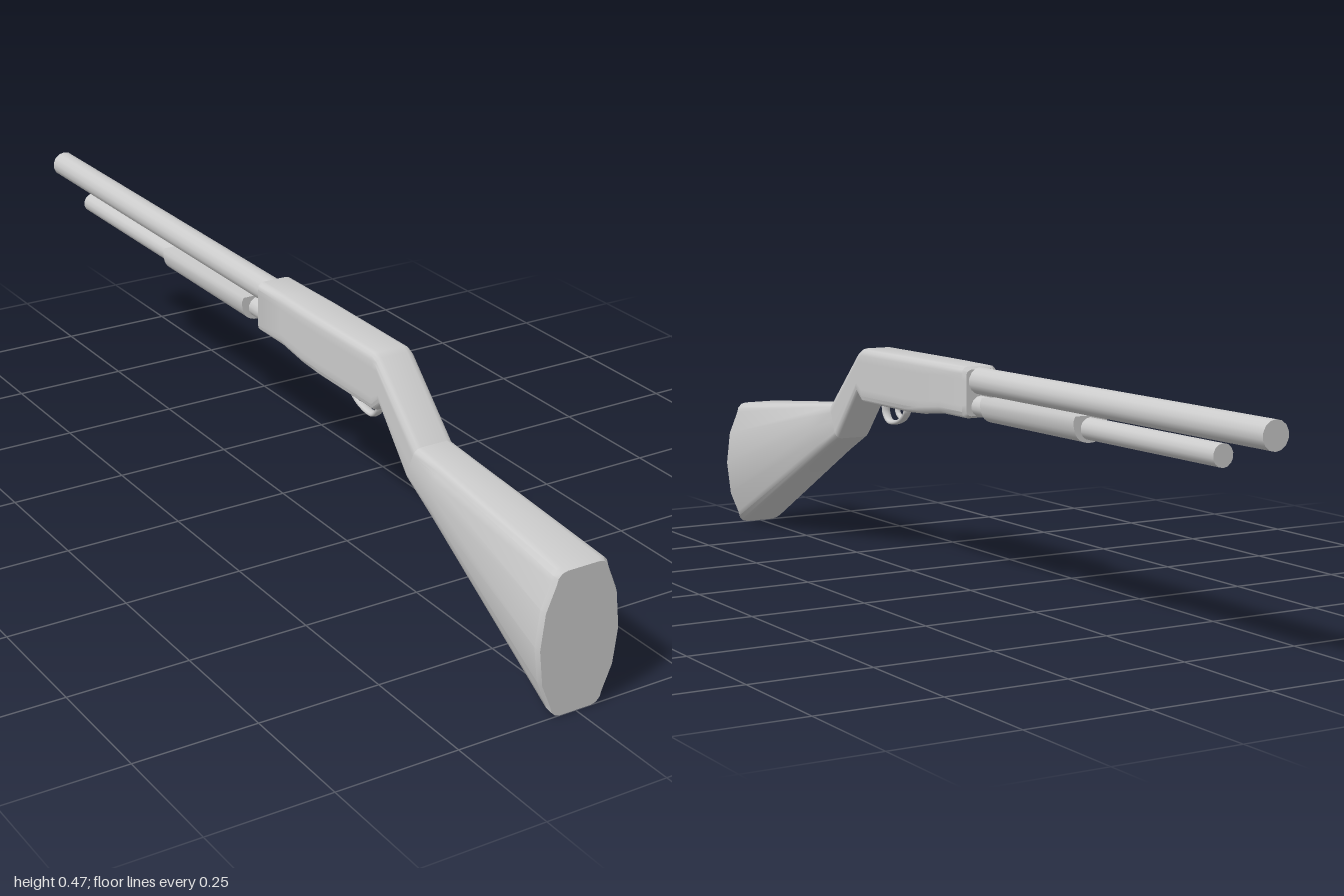
import * as THREE from 'three';
import { toCreasedNormals } from 'three/addons/utils/BufferGeometryUtils.js';

const material = new THREE.MeshStandardMaterial({ color: 0xcccccc });
const doubleSided = new THREE.MeshStandardMaterial({ color: 0xcccccc, side: THREE.DoubleSide });

// Rounded section between a top and a bottom point, optionally bulging at the sides
function section([zTop, yTop, zBottom, yBottom, w, bulge, r]) {
  const height = Math.hypot(yTop - yBottom, zTop - zBottom);
  const k = r / height;
  const side = [[w - r, 0], [w - 0.5 * r, 0.13 * k], [w - 0.13 * r, 0.5 * k], [w, k]];
  for (const u of [0.25, 0.5, 0.75]) side.push([w + bulge * Math.sin(Math.PI * u), u]);
  side.push([w, 1 - k], [w - 0.13 * r, 1 - 0.5 * k], [w - 0.5 * r, 1 - 0.13 * k], [w - r, 1]);
  const outline = [...side, ...side.slice().reverse().map(([x, u]) => [-x, u])];
  return outline.map(([x, u]) => [
    x, yBottom + (yTop - yBottom) * u, zBottom + (zTop - zBottom) * u]);
}

// Closed skin through sections ordered from -z to +z
function loft(rows) {
  const rings = rows.map(section);
  const n = rings[0].length;
  const index = [];
  for (let i = 0; i < rings.length - 1; i++) {
    for (let j = 0; j < n; j++) {
      const a = i * n + j, b = i * n + (j + 1) % n;
      index.push(a, b, a + n, b, b + n, a + n);
    }
  }
  const last = (rings.length - 1) * n;
  for (let j = 1; j < n - 1; j++) {
    index.push(0, j + 1, j, last, last + j, last + j + 1);
  }
  const geometry = new THREE.BufferGeometry();
  geometry.setAttribute('position', new THREE.Float32BufferAttribute(rings.flat(2), 3));
  geometry.setIndex(index);
  return toCreasedNormals(geometry, 0.65);
}

function createModel() {
  const model = new THREE.Group();
  const add = (name, geometry, mat = material) => {
    const mesh = new THREE.Mesh(geometry, mat);
    mesh.name = name;
    model.add(mesh);
    return mesh;
  };

  // Rows: zTop, yTop, zBottom, yBottom, half width, side bulge, corner radius
  add('receiverAndGrip', loft([
    [-0.04, 0.465, -0.04, 0.37, 0.034, 0, 0.012],
    [-0.032, 0.471, -0.032, 0.365, 0.04, 0, 0.014],
    [0.06, 0.472, 0.06, 0.365, 0.041, 0, 0.015],
    [0.14, 0.472, 0.14, 0.356, 0.043, 0, 0.015],
    [0.2, 0.472, 0.2, 0.353, 0.043, 0, 0.015],
    [0.395, 0.472, 0.395, 0.353, 0.043, 0, 0.015],
    [0.408, 0.465, 0.42, 0.373, 0.043, 0, 0.015],
    [0.545, 0.335, 0.515, 0.26, 0.043, 0, 0.015],
  ]));
  add('stock', loft([
    [0.545, 0.335, 0.515, 0.26, 0.043, 0, 0.015],
    [0.62, 0.328, 0.6, 0.217, 0.046, 0.005, 0.017],
    [0.99, 0.292, 0.99, 0.008, 0.061, 0.029, 0.022],
    [1, 0.288, 1, 0.001, 0.056, 0.029, 0.022],
  ]));

  // Barrel and magazine tube run forward along -z
  const rod = (name, radius, y, zBack, zFront) => {
    const geometry = new THREE.CylinderGeometry(radius, radius, zBack - zFront, 14);
    geometry.rotateX(Math.PI / 2);
    add(name, geometry).position.set(0, y, (zBack + zFront) / 2);
  };
  rod('barrel', 0.028, 0.441, -0.03, -1);
  rod('magazineTube', 0.022, 0.389, -0.03, -0.855);

  // Pump grip with a flat top under the barrel and a rounded belly
  const pump = new THREE.Shape();
  pump.moveTo(0.034, 0.414);
  pump.lineTo(-0.034, 0.414);
  pump.lineTo(-0.038, 0.405);
  pump.bezierCurveTo(-0.038, 0.375, -0.025, 0.362, 0, 0.362);
  pump.bezierCurveTo(0.025, 0.362, 0.038, 0.375, 0.038, 0.405);
  const pumpGeometry = new THREE.ExtrudeGeometry(pump, { depth: 0.34, bevelEnabled: false, curveSegments: 8 });
  add('pumpGrip', toCreasedNormals(pumpGeometry, 0.6)).position.z = -0.44;

  // Trigger guard and trigger, bent from flattened rods
  const bent = (name, points, radius, widen) => {
    const curve = new THREE.CatmullRomCurve3(points.map(([z, y]) => new THREE.Vector3(0, y, z)));
    add(name, new THREE.TubeGeometry(curve, 24, radius, 8), doubleSided).scale.x = widen;
  };
  bent('triggerGuard', [[0.362, 0.358], [0.358, 0.332], [0.343, 0.317], [0.318, 0.316],
    [0.286, 0.326], [0.267, 0.342], [0.262, 0.358]], 0.005, 2);
  bent('trigger', [[0.305, 0.36], [0.308, 0.346], [0.303, 0.336], [0.294, 0.331]], 0.005, 1.3);

  return model;
}

export { createModel };
